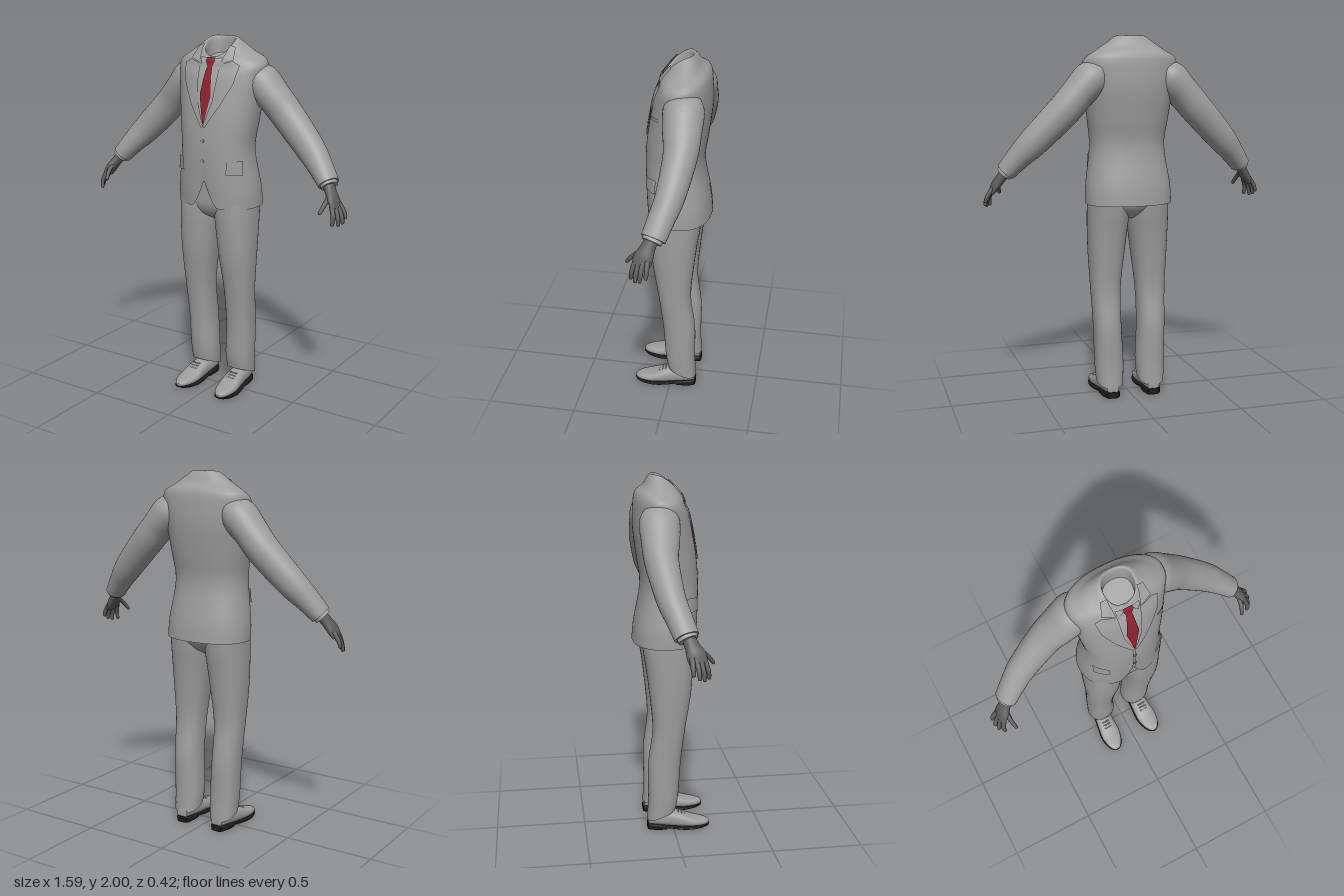
import * as THREE from 'three';

const flat = (name, color, side = THREE.FrontSide) =>
  Object.assign(new THREE.MeshStandardMaterial({ color, side }), { name });
const V = (x, y, z) => new THREE.Vector3(x, y, z);

// Catmull-Rom refinement of equally long rows of numbers
function refine(rows, n = 4) {
  const out = [];
  const at = i => rows[Math.max(0, Math.min(rows.length - 1, i))];
  for (let i = 0; i < rows.length - 1; i++) {
    for (let k = 0; k < n; k++) {
      const t = k / n, [a, b, c, d] = [at(i - 1), at(i), at(i + 1), at(i + 2)];
      out.push(b.map((_, j) => 0.5 * (2 * b[j] + (c[j] - a[j]) * t
        + (2 * a[j] - 5 * b[j] + 4 * c[j] - d[j]) * t * t
        + (3 * b[j] - a[j] - 3 * c[j] + d[j]) * t * t * t)));
    }
  }
  out.push(rows[rows.length - 1]);
  return out;
}

function finish(pos, idx) {
  const g = new THREE.BufferGeometry();
  g.setAttribute('position', new THREE.Float32BufferAttribute(pos, 3));
  g.setIndex(idx);
  g.computeVertexNormals();
  return g;
}

// Skin over closed rings of points, with flat end caps
function skin(rings, capStart = true) {
  const pos = [], idx = [], n = rings[0].length;
  rings.forEach(r => r.forEach(p => pos.push(p.x, p.y, p.z)));
  for (let i = 0; i < rings.length - 1; i++) {
    for (let j = 0; j < n; j++) {
      const a = i * n + j, b = i * n + (j + 1) % n;
      idx.push(a, b, b + n, a, b + n, a + n);
    }
  }
  const cap = (ring, flip) => {
    const base = pos.length / 3, c = V(0, 0, 0);
    ring.forEach(p => { pos.push(p.x, p.y, p.z); c.addScaledVector(p, 1 / n); });
    pos.push(c.x, c.y, c.z);
    for (let j = 0; j < n; j++) {
      const a = base + j, b = base + (j + 1) % n;
      idx.push(...(flip ? [b, a, base + n] : [a, b, base + n]));
    }
  };
  if (capStart) cap(rings[0], true);
  cap(rings[rings.length - 1], false);
  return finish(pos, idx);
}

const pow = (v, p) => Math.sign(v) * Math.abs(v) ** (2 / p);
const round = (n, f) => Array.from({ length: n }, (_, j) => f(j / n * Math.PI * 2));

// Level sections: [y, centre x, half width, front z, back z, tilt, side lift]
function levels(rows, n, p) {
  const full = rows.map(([y, cx, rx, zf, zb, tilt = 0, lift = 0]) => [y, cx, rx, zf, zb, tilt, lift]);
  return refine(full).map(([y, cx, rx, zf, zb, tilt, lift]) => round(n, a => {
    const dz = (zf - zb) / 2 * pow(Math.cos(a), p);
    return V(cx + rx * pow(Math.sin(a), p), y - tilt * dz + lift * Math.sin(a) ** 2, (zf + zb) / 2 + dz);
  }));
}

// Sections across a path: [x, y, z, thickness radius, z radius]
function limb(rows, n = 28) {
  const r = refine(rows);
  return skin(r.map(([x, y, z, ra, rb], i) => {
    const p = r[Math.max(0, i - 1)], q = r[Math.min(r.length - 1, i + 1)];
    const t = V(q[0] - p[0], q[1] - p[1], q[2] - p[2]).normalize();
    const u = V(0, 0, 1).cross(t).normalize(), w = t.clone().cross(u);
    return round(n, a => V(x, y, z).addScaledVector(u, ra * Math.cos(a)).addScaledVector(w, rb * Math.sin(a)));
  }));
}

// Sections along z for footwear: [z, half width, bottom, top]
const foot = (rows, p, grow = 0) => skin(refine(rows).map(([z, w, lo, hi]) =>
  round(28, a => V(0.123 + 0.05 * (z + 0.05) + (w + grow) * pow(Math.cos(a), p),
    (lo + hi) / 2 + (hi - lo) / 2 * pow(Math.sin(a), p), z))));

function mirrored(g) {
  const m = g.clone().scale(-1, 1, 1), ix = m.index.array;
  for (let i = 0; i < ix.length; i += 3) [ix[i], ix[i + 1]] = [ix[i + 1], ix[i]];
  m.computeVertexNormals();
  return m;
}

export function createModel() {
  const model = new THREE.Group();
  model.name = 'suit';
  const cloth = flat('suit cloth', 0x9d9d9d, THREE.DoubleSide);
  const linen = flat('shirt cloth', 0xa3a3a3, THREE.DoubleSide);
  const silk = flat('tie silk', 0x8a2232, THREE.DoubleSide);
  const skinTone = flat('hand', 0x5e5e5e);
  const rubber = flat('sole black', 0x1c1c1c);

  const add = (name, g, mat) => {
    const m = new THREE.Mesh(g, mat);
    m.name = name;
    model.add(m);
    return m;
  };
  const pair = (name, g, mat) => {
    add('left ' + name, g, mat);
    add('right ' + name, mirrored(g), mat);
  };

  // Jacket body, up over the shoulders and into the neck
  const body = skin(levels([
    [1.09, 0, 0.24, 0.138, -0.21], [1.2, 0, 0.235, 0.145, -0.2], [1.4, 0, 0.208, 0.15, -0.165],
    [1.55, 0, 0.224, 0.14, -0.182], [1.7, 0, 0.243, 0.115, -0.2], [1.8, 0, 0.256, 0.092, -0.2],
    [1.87, 0, 0.258, 0.072, -0.188, 0.2], [1.91, 0, 0.2, 0.065, -0.145, 0.3],
    [1.94, 0, 0.13, 0.052, -0.12, 0.5, 0.012], [1.95, 0, 0.088, 0.046, -0.105, 0.65, 0.027],
    [1.935, 0, 0.078, 0.037, -0.095, 0.65, 0.015], [1.885, 0, 0.076, 0.032, -0.092, 0.4]
  ], 72, 2.3), false);
  // Rounded cutaway at the front hem
  const bp = body.attributes.position;
  for (let i = 0; i < bp.count; i++) {
    const x = bp.getX(i), y = bp.getY(i);
    if (bp.getZ(i) > 0 && y < 1.35) {
      bp.setY(i, y + 0.15 * Math.max(0, 1 - Math.abs(x) / 0.08) ** 1.4 * (1.35 - y) / 0.26);
    }
  }
  body.computeVertexNormals();
  const jacket = add('jacket body', body, cloth);
  jacket.updateMatrixWorld();

  // Thin panel laid on the jacket; rows run [x0, y0, x1, y1]
  const ray = new THREE.Raycaster();
  function drape(rows, off, face = 1, cols = 6, sub = 5) {
    const pos = [], idx = [], all = [];
    for (let i = 0; i < rows.length - 1; i++) {
      for (let k = i ? 1 : 0; k <= sub; k++) all.push(rows[i].map((v, j) => v + (rows[i + 1][j] - v) * k / sub));
    }
    all.forEach(([x0, y0, x1, y1], i) => {
      for (let j = 0; j <= cols; j++) {
        const t = j / cols, p = V(x0 + (x1 - x0) * t, y0 + (y1 - y0) * t, face * 2);
        ray.set(p, V(0, 0, -face));
        const hit = ray.intersectObject(jacket)[0];
        if (hit) p.copy(hit.point).addScaledVector(hit.face.normal, off);
        else p.z = 0.04 * face;
        pos.push(p.x, p.y, p.z);
        if (i && j) {
          const a = i * (cols + 1) + j, b = a - cols - 1;
          idx.push(...(face > 0 ? [a - 1, b, b - 1, a - 1, a, b] : [a - 1, b - 1, b, a - 1, b, a]));
        }
      }
    });
    return finish(pos, idx);
  }

  // Shirt front, collar points and tie
  add('shirt front', drape([[-0.065, 1.875, 0.065, 1.875], [-0.048, 1.67, 0.048, 1.67], [0, 1.54, 0.001, 1.54]], 0.002), linen);
  pair('shirt collar point', drape([[0.02, 1.888, 0.065, 1.895], [0.048, 1.845, 0.054, 1.842]], 0.007), linen);
  add('tie', drape([[-0.026, 1.892, 0.026, 1.892], [-0.028, 1.88, 0.028, 1.88], [-0.016, 1.848, 0.016, 1.848],
    [-0.034, 1.7, 0.034, 1.7], [-0.003, 1.55, 0.003, 1.55]], 0.009), silk);

  // Lapels, collar, pockets, front edge, back vent and buttons
  pair('lapel', drape([[0.062, 1.865, 0.13, 1.88], [0.06, 1.84, 0.168, 1.858], [0.056, 1.78, 0.15, 1.77],
    [0.044, 1.67, 0.095, 1.66], [0, 1.54, 0.01, 1.53]], 0.009), cloth);
  pair('collar', drape([[0.082, 1.955, 0.11, 1.945], [0.064, 1.865, 0.13, 1.885]], 0.008), cloth);
  pair('pocket flap', drape([[0.135, 1.355, 0.196, 1.36], [0.13, 1.285, 0.2, 1.28]], 0.008), cloth);
  add('breast pocket', drape([[0.15, 1.705, 0.215, 1.715], [0.15, 1.688, 0.215, 1.698]], 0.005), cloth);
  add('front edge', drape([[-0.012, 1.53, 0.006, 1.53], [-0.012, 1.27, 0.006, 1.27]], 0.004), cloth);
  add('back vent', drape([[-0.012, 1.27, 0.012, 1.27], [-0.012, 1.095, 0.012, 1.095]], 0.004, -1), cloth);
  for (const y of [1.46, 1.35]) {
    add('button', new THREE.CylinderGeometry(0.009, 0.009, 0.008, 16).rotateX(Math.PI / 2).translate(0, y, 0.153), cloth);
  }

  // Sleeves and shirt cuffs
  pair('sleeve', limb([
    [0.17, 1.82, -0.085, 0.06, 0.08], [0.22, 1.775, -0.085, 0.096, 0.106], [0.3, 1.69, -0.09, 0.09, 0.1],
    [0.38, 1.6, -0.095, 0.089, 0.088], [0.53, 1.445, -0.07, 0.08, 0.075],
    [0.61, 1.36, -0.04, 0.066, 0.068], [0.675, 1.283, -0.012, 0.054, 0.064]
  ], 36), cloth);
  pair('cuff', limb([[0.655, 1.307, -0.02, 0.045, 0.052], [0.685, 1.271, -0.005, 0.044, 0.052]]), linen);

  // Hands: palm, four fingers and a thumb
  pair('palm', limb([
    [0.67, 1.29, -0.008, 0.03, 0.034], [0.7, 1.245, 0.01, 0.027, 0.038],
    [0.727, 1.205, 0.027, 0.024, 0.05], [0.747, 1.168, 0.036, 0.015, 0.046]
  ]), skinTone);
  const fingers = [
    [[0.735, 1.185, 0.066], [0.752, 1.135, 0.082], [0.75, 1.094, 0.088]],
    [[0.741, 1.185, 0.046], [0.766, 1.13, 0.058], [0.773, 1.09, 0.062]],
    [[0.744, 1.187, 0.025], [0.775, 1.135, 0.033], [0.784, 1.098, 0.036]],
    [[0.744, 1.195, 0.004], [0.775, 1.15, 0.004], [0.785, 1.118, 0.006]],
    [[0.706, 1.235, 0.03], [0.703, 1.195, 0.085], [0.692, 1.155, 0.118]]
  ];
  fingers.forEach((f, i) => pair(i < 4 ? 'finger' : 'thumb', limb([
    [...f[0], 0.014, 0.014], [...f[1], 0.012, 0.012], [...f[2], 0.009, 0.009],
    [...f[2].map((v, k) => v + (v - f[1][k]) * 0.12), 0.002, 0.002]
  ], 12), skinTone));

  // Trousers
  pair('trouser leg', skin(levels([
    [0.09, 0.12, 0.075, 0.015, -0.147, -0.4], [0.2, 0.12, 0.08, 0.03, -0.14, -0.1], [0.4, 0.127, 0.077, 0.042, -0.14],
    [0.6, 0.13, 0.082, 0.066, -0.115], [0.8, 0.124, 0.098, 0.098, -0.13], [0.95, 0.117, 0.109, 0.11, -0.148],
    [1.03, 0.113, 0.113, 0.115, -0.16], [1.12, 0.11, 0.115, 0.115, -0.17]
  ], 40, 2.3)), cloth);
  add('trouser seat', skin(levels([
    [1.01, 0, 0.03, 0.04, -0.09], [1.04, 0, 0.11, 0.09, -0.135], [1.09, 0, 0.2, 0.115, -0.168],
    [1.15, 0, 0.215, 0.12, -0.17], [1.32, 0, 0.19, 0.12, -0.14]
  ], 48, 2.4)), cloth);

  // Shoes with laces, soles and heels
  pair('shoe', foot([
    [-0.142, 0.034, 0.03, 0.08], [-0.1, 0.046, 0.025, 0.1], [-0.03, 0.05, 0.015, 0.112], [0.04, 0.056, 0.01, 0.096],
    [0.1, 0.06, 0.01, 0.07], [0.16, 0.048, 0.012, 0.055], [0.195, 0.028, 0.015, 0.045], [0.208, 0.008, 0.02, 0.034]
  ], 2.5), cloth);
  pair('sole', foot([
    [-0.142, 0.034, 0.016, 0.034], [-0.1, 0.046, 0.014, 0.032], [-0.03, 0.048, 0.008, 0.024], [0.04, 0.056, 0, 0.016],
    [0.1, 0.06, 0, 0.015], [0.16, 0.048, 0.003, 0.017], [0.195, 0.028, 0.008, 0.02], [0.209, 0.008, 0.013, 0.022]
  ], 4, 0.003), rubber);
  pair('heel', foot([
    [-0.146, 0.03, 0, 0.036], [-0.13, 0.042, 0, 0.036], [-0.09, 0.05, 0, 0.034], [-0.038, 0.05, 0, 0.026]
  ], 6), rubber);
  for (let i = 0; i < 3; i++) {
    pair('lace', new THREE.CapsuleGeometry(0.004, 0.04, 4, 8).rotateZ(Math.PI / 2)
      .translate(0.128, 0.1 - i * 0.009, 0.03 + i * 0.018), cloth);
  }
  return model;
}
